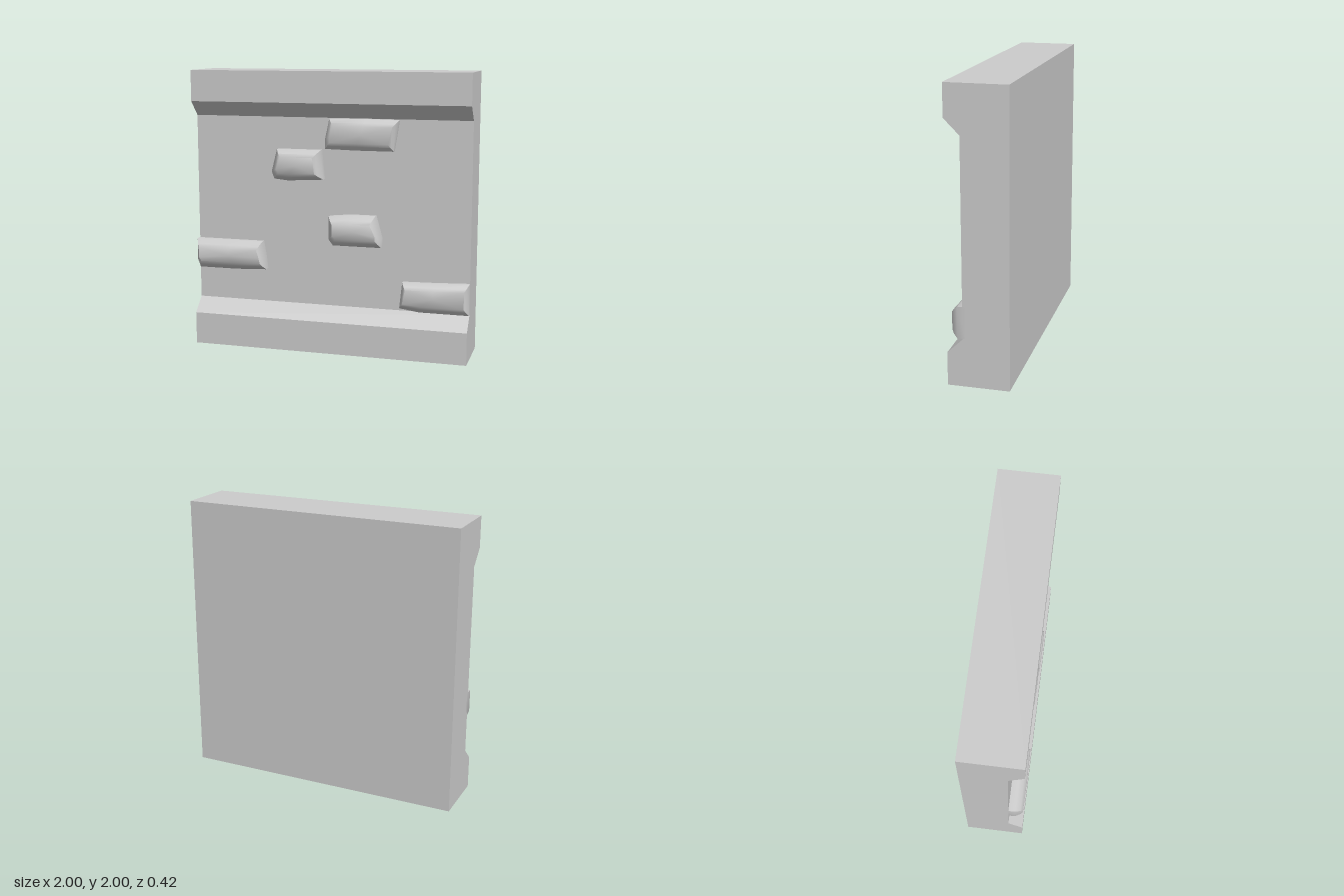
import * as THREE from 'three';
import { toCreasedNormals } from 'three/addons/utils/BufferGeometryUtils.js';

const FACE = 0.105; // z of the recessed wall face

// Stone lofted from its outline: straight sides, then a bevel and a slightly domed front
function stoneGeometry(outline, depth, insetX, insetY) {
  const xs = outline.map(p => p[0]), ys = outline.map(p => p[1]);
  const minX = Math.min(...xs), maxX = Math.max(...xs);
  const minY = Math.min(...ys), maxY = Math.max(...ys);
  const cx = (minX + maxX) / 2, cy = (minY + maxY) / 2;
  const hx = (maxX - minX) / 2, hy = (maxY - minY) / 2;
  // [bevel amount, z] of each cross-section
  const rings = [[0, FACE - 0.02], [0, FACE + depth * 0.45], [0.55, FACE + depth * 0.8], [1, FACE + depth * 0.97]];
  const pos = [], idx = [], n = outline.length;
  for (const [k, z] of rings) {
    for (const [x, y] of outline) {
      pos.push(cx + (x - cx) * (1 - k * insetX / hx), cy + (y - cy) * (1 - k * insetY / hy), z);
    }
  }
  pos.push(cx, cy, FACE + depth);
  const tip = rings.length * n;
  for (let i = 0; i < n; i++) {
    const j = (i + 1) % n;
    for (let r = 0; r < rings.length - 1; r++) {
      const a = r * n + i, b = r * n + j;
      idx.push(a, b, b + n, a, b + n, a + n);
    }
    idx.push(tip - n + i, tip - n + j, tip);
  }
  const geo = new THREE.BufferGeometry();
  geo.setAttribute('position', new THREE.Float32BufferAttribute(pos, 3));
  geo.setIndex(idx);
  return toCreasedNormals(geo, 0.75);
}

export function createModel() {
  const group = new THREE.Group();
  const material = new THREE.MeshStandardMaterial({ color: 0xcccccc });
  const add = (name, geometry) => {
    const mesh = new THREE.Mesh(geometry, material);
    mesh.name = name;
    group.add(mesh);
  };

  // Wall: side profile (z, y) with plinth, recess and top beam, run along x
  const profile = [[-0.21, 0], [0.21, 0], [0.21, 0.23], [FACE, 0.33], [FACE, 1.675], [0.21, 1.78], [0.21, 2], [-0.21, 2]];
  const shape = new THREE.Shape(profile.map(p => new THREE.Vector2(...p)));
  const wall = new THREE.ExtrudeGeometry(shape, { depth: 2, bevelEnabled: false });
  wall.rotateY(-Math.PI / 2).translate(1, 0, 0);
  add('wall', wall);

  // Raised stones: anticlockwise front outlines
  const stones = [
    { name: 'topStone', depth: 0.07, insetX: 0.04, insetY: 0.05,
      outline: [[-0.03, 1.46], [0.2, 1.455], [0.46, 1.455], [0.495, 1.67], [0.25, 1.675], [0, 1.67], [-0.03, 1.53]] },
    { name: 'upperStone', depth: 0.105, insetX: 0.05, insetY: 0.05,
      outline: [[-0.4, 1.24], [-0.3, 1.23], [-0.04, 1.245], [-0.06, 1.45], [-0.38, 1.45], [-0.42, 1.29]] },
    { name: 'middleStone', depth: 0.105, insetX: 0.035, insetY: 0.055,
      outline: [[0.03, 0.78], [0.38, 0.78], [0.38, 0.84], [0.335, 1], [0.15, 1], [0, 0.985], [0, 0.82]] },
    { name: 'leftStone', depth: 0.105, insetX: 0.03, insetY: 0.055,
      outline: [[-0.98, 0.565], [-0.7, 0.565], [-0.47, 0.575], [-0.48, 0.66], [-0.5, 0.775], [-0.75, 0.775], [-1, 0.775], [-1, 0.62]] },
    { name: 'lowerStone', depth: 0.08, insetX: 0.03, insetY: 0.05,
      outline: [[0.51, 0.355], [0.65, 0.335], [1, 0.335], [1, 0.555], [0.75, 0.545], [0.53, 0.54]] },
  ];
  for (const s of stones) add(s.name, stoneGeometry(s.outline, s.depth, s.insetX, s.insetY));

  return group;
}
